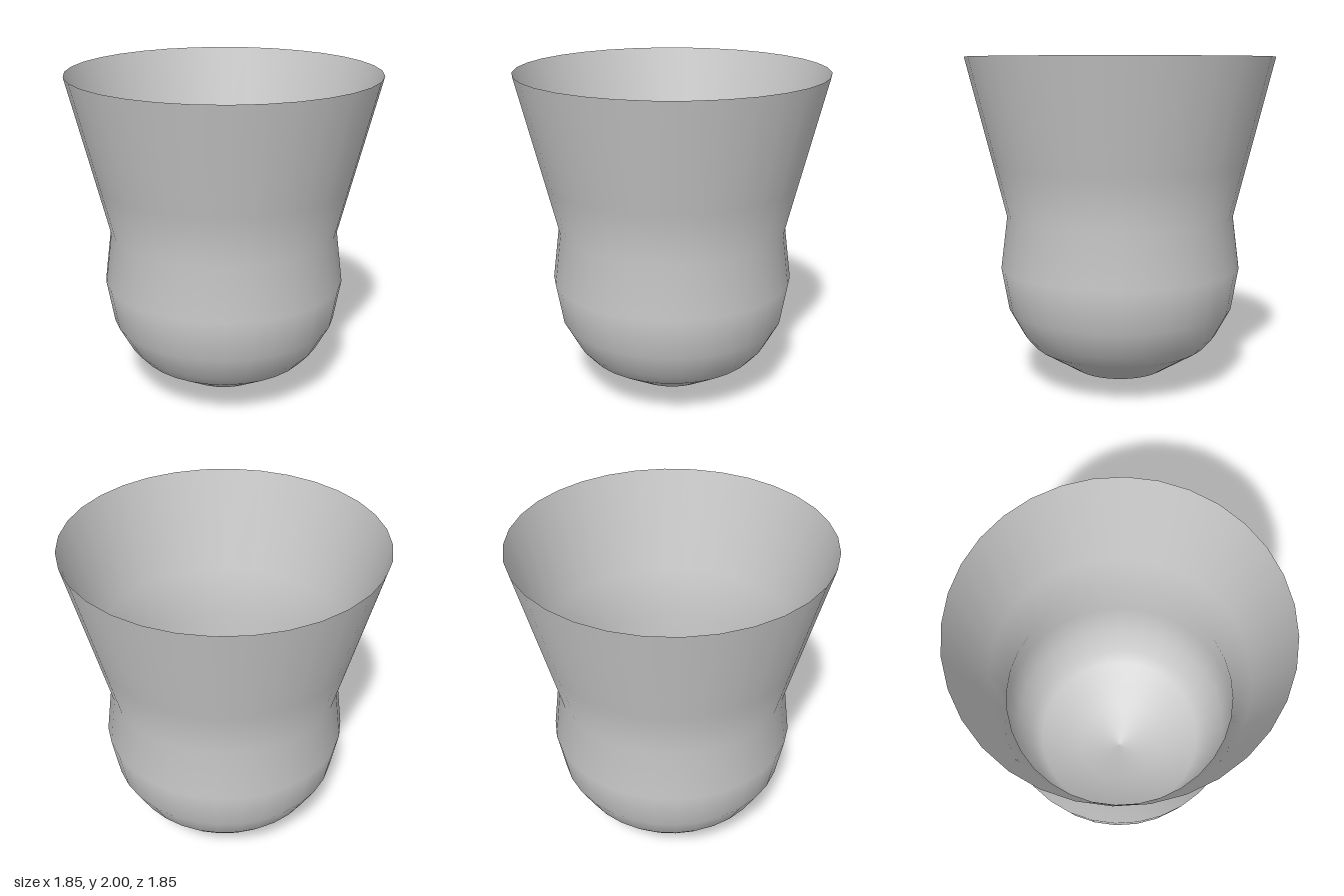
import * as THREE from 'three';

export function createModel() {
  const group = new THREE.Group();
  group.name = 'cup';

  // Open thin-walled vessel: rounded bowl, narrow waist, flared rim
  const profile = [
    [0, 0], [0.28, 0.085], [0.534, 0.243], [0.6, 0.318], [0.688, 0.48],
    [0.732, 0.737], [0.691, 1.053], [0.766, 1.36], [0.923, 2],
  ].map(([r, y]) => new THREE.Vector2(r, y));

  const wall = new THREE.Mesh(
    new THREE.LatheGeometry(profile, 32),
    new THREE.MeshStandardMaterial({ color: 0xcccccc, side: THREE.DoubleSide })
  );
  wall.name = 'cupWall';
  group.add(wall);
  return group;
}
